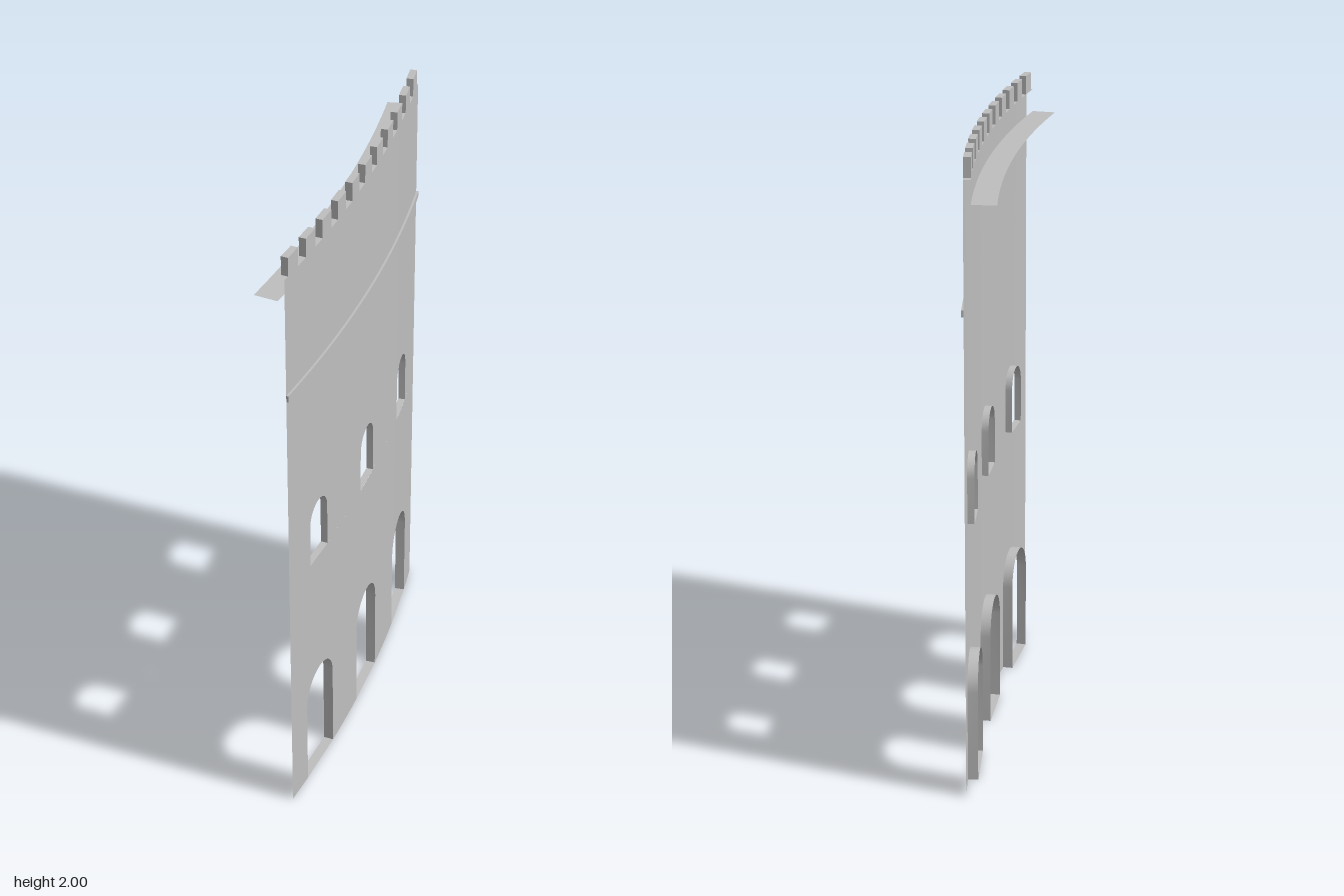
import * as THREE from 'three';
import { toCreasedNormals } from 'three/addons/utils/BufferGeometryUtils.js';

const R = 4.8;            // radius of the outer wall face
const FACE_X = 0.062;     // x of the outer face at mid-span
const HALF = 0.624;       // half the arc length of the wall
const BAY = 0.415;        // spacing of the openings
const WALL_TOP = 1.94, DEPTH = 0.022;

const stone = new THREE.MeshStandardMaterial({ color: 0xbfbfbf, side: THREE.DoubleSide });
stone.name = 'grey stone';

// Point on the curved wall: s along the arc, y up, d inward from the outer face
function P(s, y, d = 0) {
  const a = s / R, r = R - d;
  return [FACE_X - R + r * Math.cos(a), y, r * Math.sin(a)];
}

// Mesh from a list of quads, each given by four corners
function quadMesh(name, quads) {
  const pos = [];
  for (const [a, b, c, d] of quads) pos.push(...a, ...b, ...c, ...a, ...c, ...d);
  const g = new THREE.BufferGeometry();
  g.setAttribute('position', new THREE.Float32BufferAttribute(pos, 3));
  g.computeVertexNormals();
  const mesh = new THREE.Mesh(toCreasedNormals(g, 0.5), stone);
  mesh.name = name;
  return mesh;
}

// Evenly spaced stations along the arc
function stations(s0, s1, n) {
  return Array.from({ length: n + 1 }, (_, i) => s0 + (s1 - s0) * i / n);
}

// Outline of one arched opening as [s, y] points, left jamb to right jamb
function arch(c, r, base, top) {
  const pts = [[c - r, base]];
  for (let i = 0; i <= 16; i++) {
    const a = Math.PI * i / 16;
    pts.push([c - r * Math.cos(a), top - r + r * Math.sin(a)]);
  }
  pts.push([c + r, base]);
  return pts;
}

// Wall strip above a row of arches, filled up to a level top
function archedStrip(name, arches, base, top) {
  const line = [];
  let s = -HALF;
  for (const pts of arches) {
    line.push(...stations(s, pts[0][0], 5).map(t => [t, base]), ...pts);
    s = pts[pts.length - 1][0];
  }
  line.push(...stations(s, HALF, 5).map(t => [t, base]));
  const quads = [];
  for (let i = 0; i + 1 < line.length; i++) {
    const [s0, y0] = line[i], [s1, y1] = line[i + 1];
    if (s1 - s0 < 1e-5) continue;
    quads.push([P(s0, y0), P(s0, top), P(s1, top), P(s1, y1)]);
  }
  return quadMesh(name, quads);
}

// Inner faces of an opening, sill included
function reveal(name, pts, depth) {
  const quads = pts.map(([s0, y0], i) => {
    const [s1, y1] = pts[(i + 1) % pts.length];
    return [P(s0, y0), P(s1, y1), P(s1, y1, depth), P(s0, y0, depth)];
  });
  return quadMesh(name, quads);
}

// Block swept along the arc, with end caps
function arcBlock(name, s0, s1, y0, y1, dOut, dIn, n) {
  const section = [[dOut, y0], [dOut, y1], [dIn, y1], [dIn, y0]];
  const ss = stations(s0, s1, n), quads = [];
  for (let i = 0; i < n; i++) {
    section.forEach(([d, y], k) => {
      const [e, z] = section[(k + 1) % 4];
      quads.push([P(ss[i], y, d), P(ss[i], z, e), P(ss[i + 1], z, e), P(ss[i + 1], y, d)]);
    });
  }
  const cap = s => section.map(([d, y]) => P(s, y, d));
  quads.push(cap(s0).reverse(), cap(s1));
  return quadMesh(name, quads);
}

// Level sheet following the arc
function arcSheet(name, y, dOut, dIn) {
  const ss = stations(-HALF, HALF, 24), quads = [];
  for (let i = 0; i < 24; i++) {
    quads.push([P(ss[i], y, dOut), P(ss[i], y, dIn), P(ss[i + 1], y, dIn), P(ss[i + 1], y, dOut)]);
  }
  return quadMesh(name, quads);
}

export function createModel() {
  const model = new THREE.Group();
  model.name = 'curvedCastleWall';

  const centres = [-BAY, 0, BAY];
  const doors = centres.map(c => arch(c, 0.1, 0, 0.397));
  const windows = centres.map(c => arch(c, 0.063, 0.84, 1.05));

  // Curved wall face in two tiers
  model.add(archedStrip('lowerWall', doors, 0, 0.84));
  model.add(archedStrip('upperWall', windows, 0.84, WALL_TOP));

  // Thickness of the openings
  doors.forEach(p => model.add(reveal('doorReveal', p, 0.032)));
  windows.forEach(p => model.add(reveal('windowReveal', p, DEPTH)));

  // String course, parapet ledge and wall walk
  model.add(arcBlock('stringCourse', -HALF, HALF, 1.535, 1.556, -0.007, 0, 24));
  model.add(arcSheet('parapetLedge', WALL_TOP, 0, DEPTH));
  model.add(arcSheet('wallWalk', 1.867, DEPTH, 0.097));

  // Battlements
  for (let i = -5; i <= 5; i++) {
    const s = i * 0.1138;
    model.add(arcBlock('merlon', s - 0.0315, s + 0.0315, WALL_TOP, 2, 0, DEPTH, 2));
  }
  return model;
}
